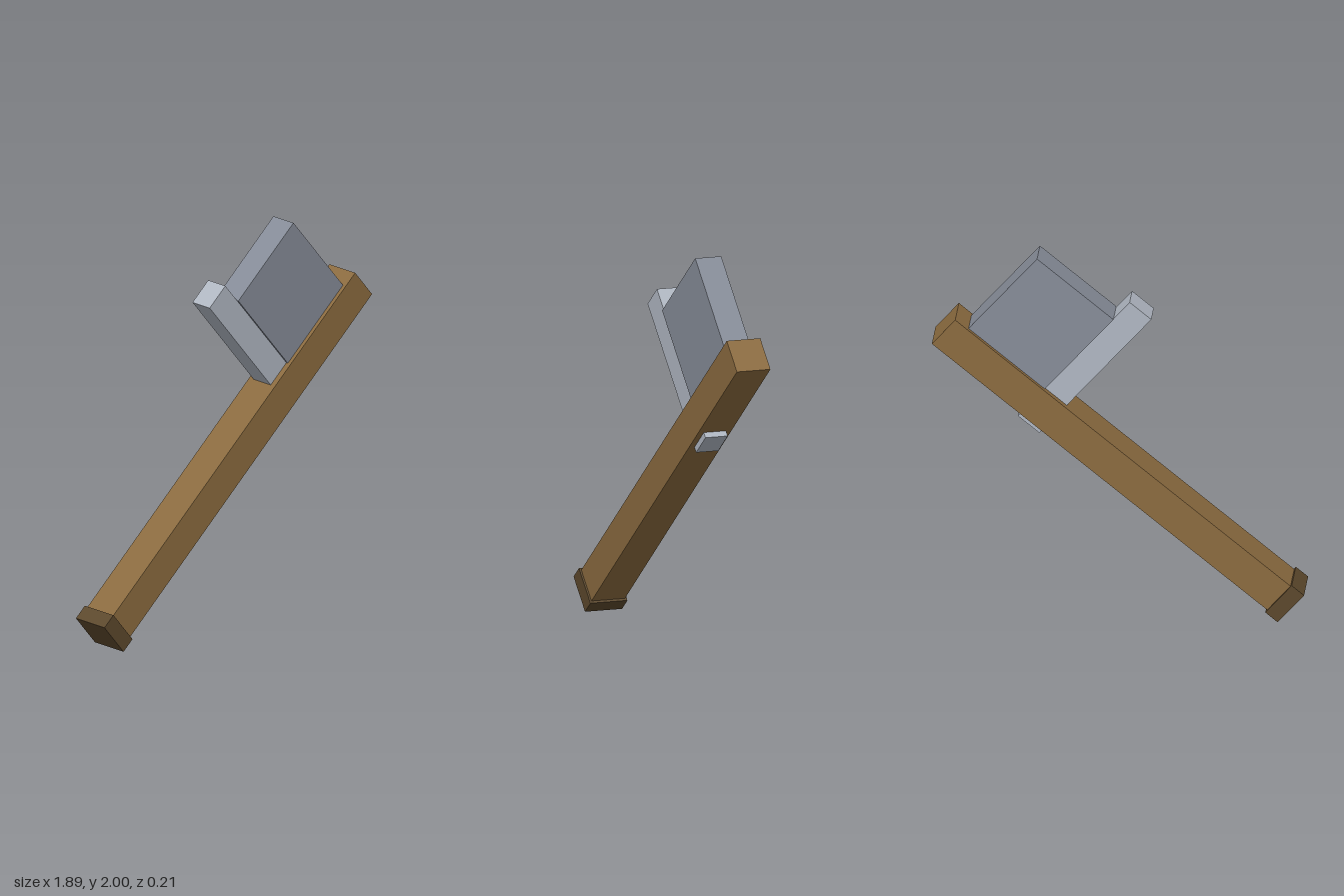
import * as THREE from 'three';

const mat = (name, color) => {
  const m = new THREE.MeshStandardMaterial({ color });
  m.name = name;
  return m;
};

export function createModel() {
  const wood = mat('wood', 0x8b6b3f);
  const darkWood = mat('dark wood', 0x5c482c);
  const steel = mat('steel', 0x868c98);
  const lightSteel = mat('light steel', 0xb0b7c2);

  const model = new THREE.Group();
  model.name = 'tiltedTool';

  // Parts are laid out along the handle, then the whole tool leans by 40 degrees
  const tool = new THREE.Group();
  tool.name = 'tool';
  tool.rotation.z = THREE.MathUtils.degToRad(40);
  model.add(tool);

  // Box from its extents along the handle (u), across it (v) and its thickness
  const block = (name, material, u0, u1, v0, v1, depth) => {
    const mesh = new THREE.Mesh(new THREE.BoxGeometry(u1 - u0, v1 - v0, depth), material);
    mesh.position.set((u0 + u1) / 2, (v0 + v1) / 2, 0);
    mesh.name = name;
    tool.add(mesh);
  };

  block('handle', wood, -0.6, 1.687, 0.541, 0.726, 0.188);
  block('endCap', darkWood, -0.622, -0.54, 0.528, 0.737, 0.208);
  block('blade', steel, 1.094, 1.601, 0.715, 1.268, 0.146);
  // Bar that runs right through the handle beside the blade
  block('crossBar', lightSteel, 0.95, 1.094, 0.51, 1.395, 0.125);

  return model;
}
